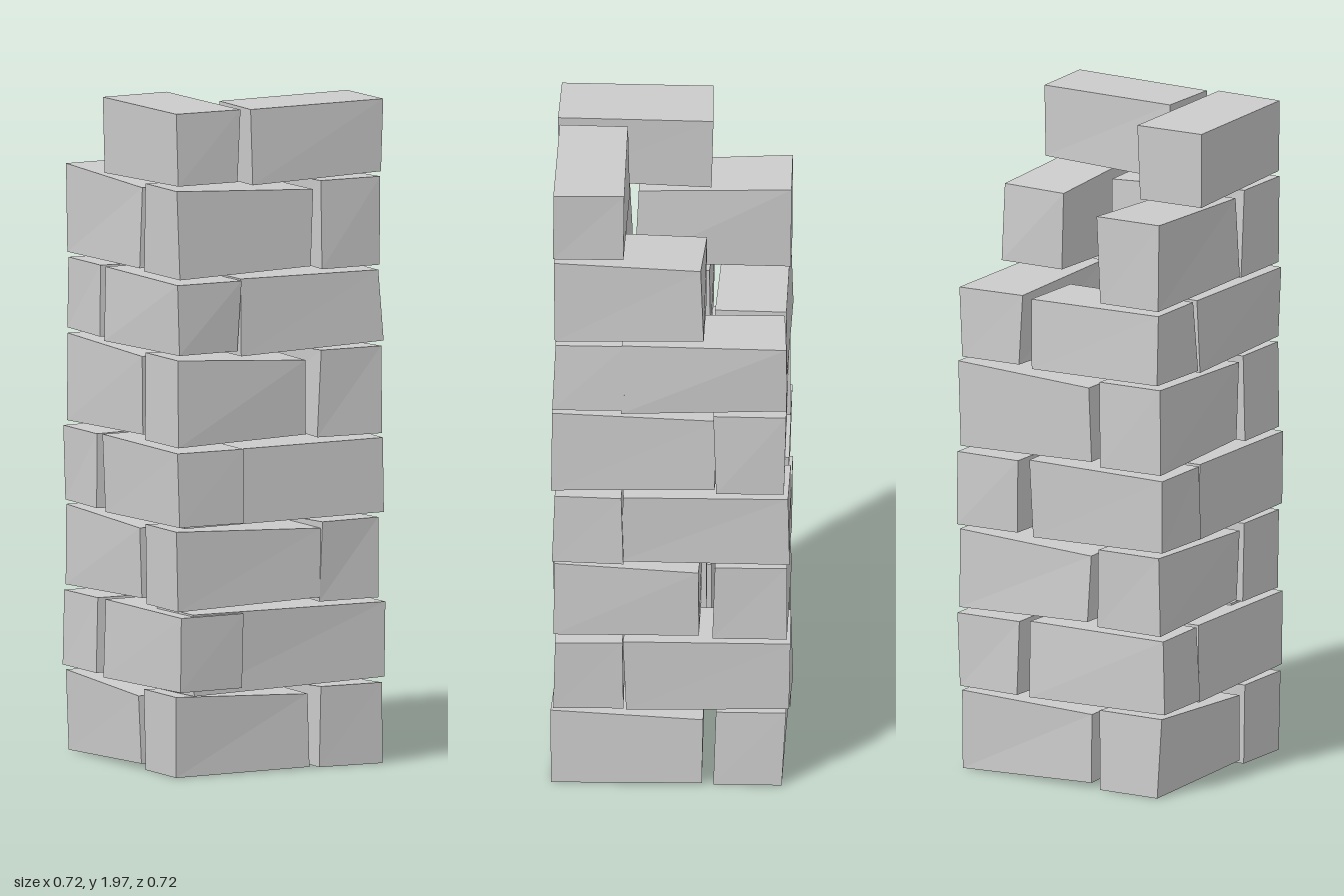
import * as THREE from 'three';

const material = new THREE.MeshStandardMaterial({ color: 0xcccccc, flatShading: true });

// Small seeded noise for hand-laid irregularity
let seed;
function wobble(amount) {
  seed = (seed * 16807) % 2147483647;
  return (seed / 2147483647 - 0.5) * 2 * amount;
}

// Box whose eight corners are placed by a rule of (sx, sy, sz) = -1 or 1
function cornerBox(name, place) {
  const geometry = new THREE.BoxGeometry(2, 2, 2);
  const p = geometry.attributes.position;
  const corners = {};
  for (let i = 0; i < p.count; i++) {
    const s = [p.getX(i), p.getY(i), p.getZ(i)];
    corners[s] ??= place(...s);
    p.setXYZ(i, ...corners[s]);
  }
  geometry.computeVertexNormals();
  const mesh = new THREE.Mesh(geometry, material);
  mesh.name = name;
  return mesh;
}

// One wall brick: its head reaches the tower corner, its tail butts the next brick
function brick(name, dir, base, top, head, tail) {
  const lift = -dir * 0.01 + wobble(0.006);
  const droop = 0.01 - dir * 0.01 + wobble(0.006);
  return cornerBox(name, (sx, sy, sz) => {
    const atHead = sx === dir;
    return [
      dir * (atHead ? head : -tail) + wobble(0.007),
      sy < 0 ? base + (atHead ? 0 : lift) : top - (atHead ? 0 : droop),
      (sz > 0 ? 0.34 : 0.135) + wobble(0.008),
    ];
  });
}

// Joint heights, and how far the tails of the front and +x bricks reach in each course
const joints = [0.008, 0.263, 0.5, 0.753, 0.988, 1.262, 1.487, 1.765, 1.995];
const frontTails = [0.1, 0.295, 0.14, 0.325, 0.09, 0.135, 0.11, 0.09];
const leftTails = [0.1, 0.13, 0.09, 0.14, 0.14, 0.14, 0.1];
const sides = ['frontBrick', 'leftBrick', 'backBrick', 'rightBrick'];

// The ruined top: no back brick in course 7, only front and -x bricks in course 8
const isMissing = (row, k) => (row >= 6 && k === 2) || (row === 7 && k === 1);

export function createModel() {
  seed = 11;
  const tower = new THREE.Group();
  tower.name = 'brickPillar';

  // Pinwheel courses, each turning the opposite way to the one below
  for (let row = 0; row < 8; row++) {
    const course = new THREE.Group();
    course.name = `course${row + 1}`;
    const dir = row % 2 ? 1 : -1;
    const head = row === 1 || row === 3 ? 0.353 : 0.341;
    sides.forEach((side, k) => {
      if (isMissing(row, k)) return;
      const tail = [frontTails[row], leftTails[row], 0.1, 0.11][k];
      const mesh = brick(side, dir, joints[row] + 0.008, joints[row + 1] - 0.007, head, tail);
      mesh.rotation.y = k * Math.PI / 2;
      course.add(mesh);
    });
    tower.add(course);
  }

  // Rubble core inside the hollow
  tower.add(cornerBox('core', (sx, sy, sz) => [
    sx * 0.1 + wobble(0.01), sy < 0 ? 0.3 : 1.4, sz * 0.1 + wobble(0.01)]));

  return tower;
}
